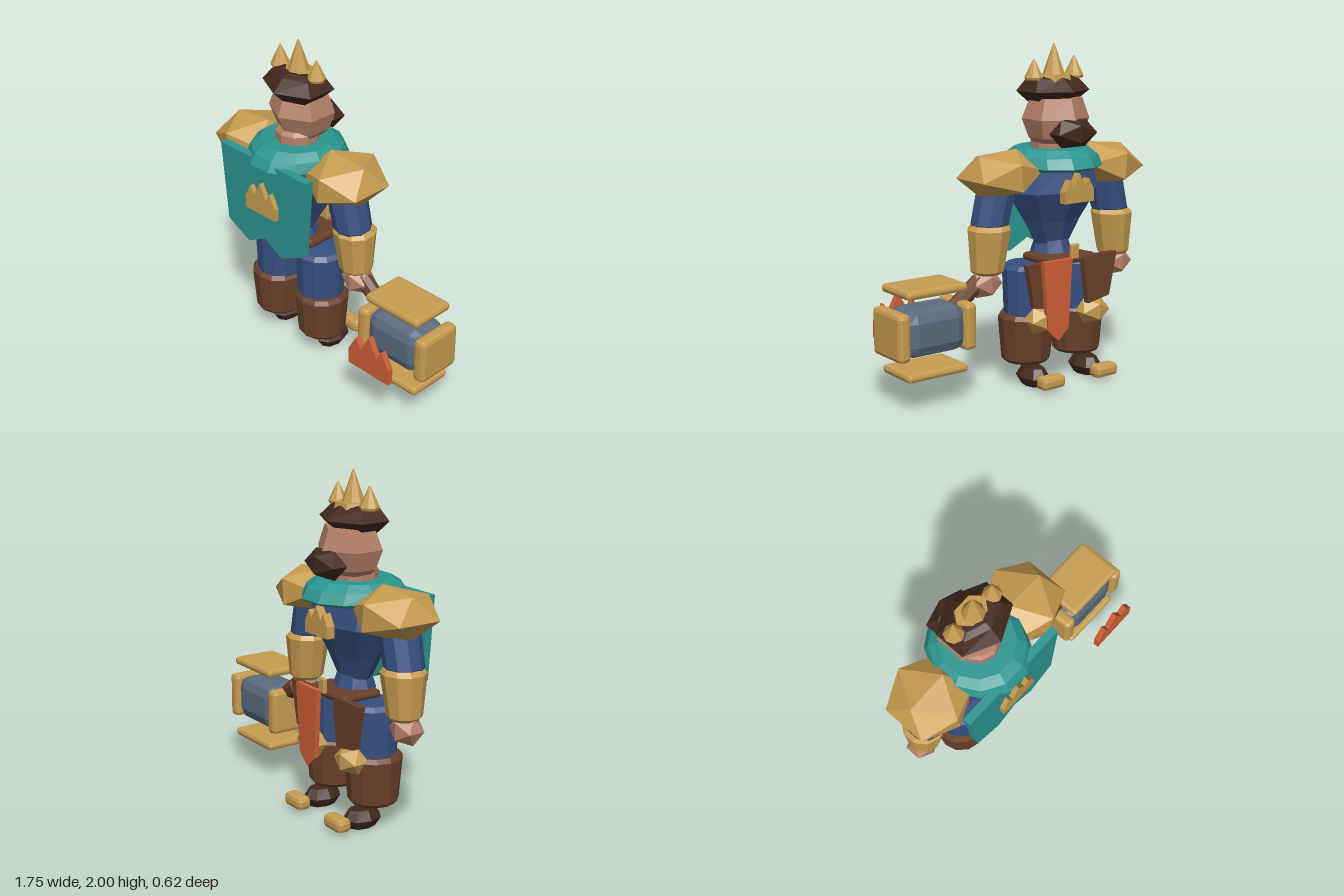
import * as THREE from 'three';
import { RoundedBoxGeometry } from 'three/addons/geometries/RoundedBoxGeometry.js';

const mat = (color) => new THREE.MeshStandardMaterial({ color, flatShading: true });
const M = {
  gold: mat(0xc79c50), teal: mat(0x2c9690), blue: mat(0x374f80), brown: mat(0x6a4029),
  dark: mat(0x42281d), skin: mat(0xb5816a), steel: mat(0x5c6b7d), orange: mat(0xcf5f38),
};

// Closed solid through horizontal rings [y, rx, rz, cx, cz]
function loft(rings, n, turn = 0) {
  const pos = [], idx = [];
  rings.forEach(([y, rx, rz = rx, cx = 0, cz = 0]) => {
    for (let i = 0; i < n; i++) {
      const a = ((i + turn) / n) * Math.PI * 2;
      pos.push(cx + rx * Math.sin(a), y, cz + rz * Math.cos(a));
    }
  });
  const last = rings.length - 1;
  for (let r = 0; r < last; r++) {
    for (let i = 0; i < n; i++) {
      const j = (i + 1) % n, b = r * n, t = b + n;
      idx.push(b + i, b + j, t + j, b + i, t + j, t + i);
    }
  }
  for (let i = 1; i < n - 1; i++) {
    idx.push(0, i + 1, i);
    idx.push(last * n, last * n + i, last * n + i + 1);
  }
  const g = new THREE.BufferGeometry();
  g.setAttribute('position', new THREE.Float32BufferAttribute(pos, 3));
  g.setIndex(idx);
  g.computeVertexNormals();
  return g;
}

// Flat plate cut from an outline, lying between z0 and z1
function plate(points, z0, z1) {
  const shape = new THREE.Shape(points.map(([x, y]) => new THREE.Vector2(x, y)));
  return new THREE.ExtrudeGeometry(shape, { depth: z1 - z0, bevelEnabled: false }).translate(0, 0, z0);
}

const gem = (rx, ry, rz) => new THREE.IcosahedronGeometry(1 / 0.85, 0).scale(rx, ry, rz);
const slab = (w, h, d, bevel) => new RoundedBoxGeometry(w, h, d, 1, bevel);

// Crown-shaped emblem, 0.25 wide and 0.2 tall at scale 1, standing on y = 0
function emblem(s, z0, z1) {
  const half = [[0.125, 0], [0.125, 0.08], [0.08, 0.16], [0.05, 0.11]];
  const outline = [...half, [0, 0.2], ...half.map(([x, y]) => [-x, y]).reverse()];
  return plate(outline.map(([x, y]) => [x * s, y * s]), z0, z1);
}

export function createModel() {
  const model = new THREE.Group();
  model.name = 'armouredKing';
  const body = new THREE.Group();
  body.name = 'body';
  body.position.x = -0.28;
  model.add(body);

  const add = (name, geometry, material, x = 0, y = 0, z = 0, parent = body) => {
    const mesh = new THREE.Mesh(geometry, material);
    mesh.name = name;
    mesh.position.set(x, y, z);
    parent.add(mesh);
    return mesh;
  };

  // Head, hair and beard
  add('neck', loft([[1.36, 0.13], [1.45, 0.13], [1.47, 0.11]], 10), M.skin);
  add('head', loft([
    [1.43, 0.14, 0.11, 0, -0.04], [1.46, 0.17, 0.14, 0, -0.04],
    [1.57, 0.205, 0.185, 0, -0.035], [1.69, 0.16, 0.14, 0, -0.04],
  ], 6), M.skin);
  add('hair', loft([
    [1.65, 0.13, 0.1], [1.67, 0.16, 0.12], [1.73, 0.228, 0.19, 0, -0.01],
    [1.80, 0.17, 0.11], [1.82, 0.12, 0.07],
  ], 6), M.dark);
  add('beard', gem(0.14, 0.08, 0.075), M.dark, 0, 1.495, -0.2);

  // Crown
  add('crownBand', loft([[1.77, 0.12, 0.09], [1.823, 0.11, 0.075]], 6, 0.5), M.gold, 0, 0, -0.03);
  [[-0.15, 0.058, 1.925], [0, 0.07, 2], [0.145, 0.055, 1.915]].forEach(([x, r, top]) =>
    add('crownSpike', loft([[1.795, r * 0.9], [1.81, r], [top, 0.004]], 8), M.gold, x, 0, -0.015));

  // Torso, collar and cape
  add('torso', loft([
    [0.82, 0.11, 0.08], [0.97, 0.2, 0.13], [1.15, 0.32, 0.22], [1.32, 0.29, 0.18], [1.37, 0.2, 0.14],
  ], 8), M.blue);
  add('hips', loft([[0.72, 0.11, 0.1], [0.77, 0.13, 0.12], [0.88, 0.1, 0.08]], 8), M.blue);
  add('collar', loft([
    [1.28, 0.26, 0.28], [1.3, 0.285, 0.315], [1.36, 0.27, 0.28], [1.4, 0.22, 0.22],
  ], 12, 0.5), M.teal);
  add('cape', plate([
    [-0.365, 1.33], [-0.32, 0.83], [-0.14, 0.745], [0, 0.82], [0.14, 0.745], [0.32, 0.83], [0.36, 1.33],
  ], 0.225, 0.275), M.teal);
  add('capeEmblem', emblem(1, 0.275, 0.305), M.gold, 0, 1, 0);
  add('chestEmblem', emblem(0.85, -0.265, -0.215), M.gold, 0, 1.1, 0);

  // Belt and hanging plates
  add('belt', slab(0.34, 0.05, 0.27, 0.02), M.brown, 0, 0.75, -0.07);
  add('buckle', slab(0.06, 0.09, 0.025, 0.008), M.gold, 0, 0.805, -0.22);
  add('tabard', plate([
    [0.03, 0.77], [0.055, 0.36], [0.13, 0.29], [0.205, 0.36], [0.24, 0.77],
  ], -0.24, -0.21), M.orange);
  [-1, 1].forEach((s) => add('hipPlate', plate([
    [s * 0.08, 0.76], [s * 0.12, 0.47], [s * 0.28, 0.5], [s * 0.335, 0.76],
  ], -0.21, -0.17), M.brown));

  // Arms and legs, mirrored
  [-1, 1].forEach((s) => {
    const side = s > 0 ? 'left' : 'right';
    const arm = new THREE.Group();
    arm.name = side + 'Arm';
    const leg = new THREE.Group();
    leg.name = side + 'Leg';
    body.add(arm, leg);

    const pad = add('shoulderPad', gem(0.21, 0.125, 0.22), M.gold, s * 0.385, 1.27, -0.01, arm);
    pad.rotation.z = -s * 0.1;
    add('upperArm', loft([
      [0.97, 0.105, 0.105, s * 0.455], [0.99, 0.115, 0.115, s * 0.45],
      [1.2, 0.115, 0.12, s * 0.4], [1.24, 0.09, 0.09, s * 0.39],
    ], 10), M.blue, 0, 0, 0, arm);
    add('forearm', loft([
      [0.7, 0.08, 0.08, s * 0.475], [0.72, 0.1, 0.1, s * 0.475],
      [0.96, 0.13, 0.13, s * 0.46], [0.985, 0.11, 0.11, s * 0.455],
    ], 10), M.gold, 0, 0, -0.01, arm);
    add('hand', gem(0.092, 0.08, 0.08), M.skin, s * 0.495, 0.645, -0.01, arm);

    add('thigh', loft([
      [0.41, 0.14], [0.43, 0.145], [0.7, 0.155], [0.725, 0.13],
    ], 12), M.blue, s * 0.18, 0, -0.01, leg);
    add('boot', loft([
      [0.135, 0.13], [0.155, 0.147], [0.405, 0.167], [0.43, 0.15],
    ], 12), M.brown, s * 0.192, 0, -0.005, leg);
    add('kneeGuard', gem(0.1, 0.075, 0.08), M.gold, s * 0.19, 0.41, -0.155, leg);
    add('foot', loft([
      [0, 0.055, 0.085], [0.055, 0.088, 0.12], [0.11, 0.055, 0.085],
    ], 8), M.dark, s * 0.2, 0, -0.085, leg);
    add('toeCap', slab(0.165, 0.08, 0.09, 0.026), M.gold, s * 0.2, 0.06, -0.26, leg);
  });

  // War hammer held in the left hand
  const hammer = new THREE.Group();
  hammer.name = 'hammer';
  hammer.position.set(0.615, 0.443, 0.003);
  model.add(hammer);
  const handle = add('hammerHandle', new THREE.CylinderGeometry(0.05, 0.05, 0.3, 8), M.brown, -0.25, 0.135, -0.012, hammer);
  handle.rotation.z = 0.92;
  add('hammerHead', slab(0.4, 0.275, 0.27, 0.07), M.steel, -0.005, 0, 0, hammer);
  [-1, 1].forEach((s) => {
    add('hammerEndCap', slab(0.08, 0.275, 0.29, 0.025), M.gold, s * 0.219, 0, 0, hammer);
    add('hammerGuard', slab(0.4, 0.05, 0.285, 0.02), M.gold, 0, s * 0.235, 0, hammer);
  });
  add('hammerEmblem', emblem(1.23, 0.28, 0.315), M.orange, 0, -0.103, 0, hammer);

  return model;
}
